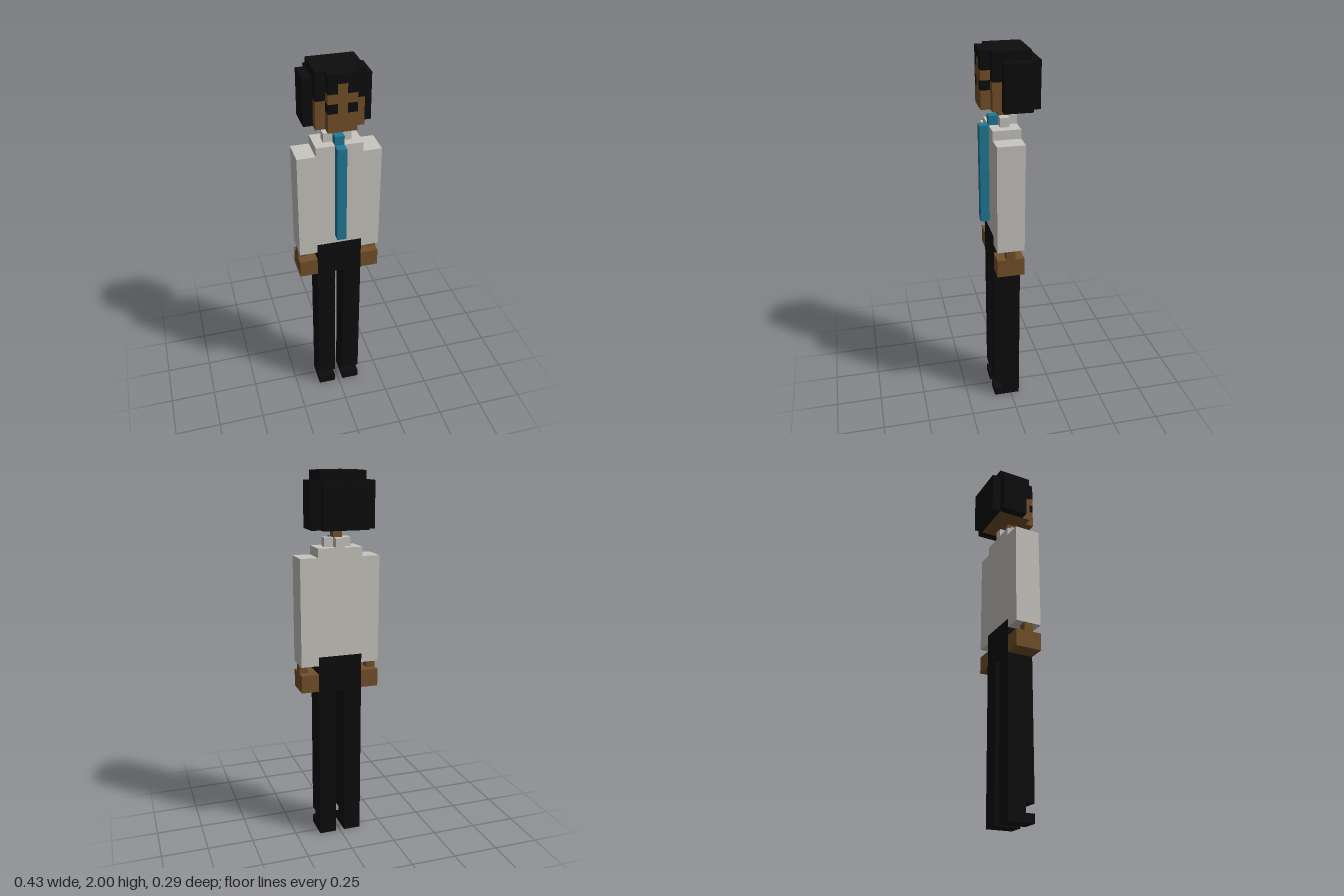
import * as THREE from 'three';

// One block of the grid; the figure is 42 blocks tall
const U = 2 / 42;

export function createModel() {
  const model = new THREE.Group();
  model.name = 'blockFigure';

  const material = (name, color) => {
    const m = new THREE.MeshStandardMaterial({ color });
    m.name = name;
    return m;
  };
  const black = material('black', 0x0d0d0d);
  const skin = material('skin', 0x74502b);
  const shirt = material('shirtGrey', 0xc9c7c1);
  const blue = material('tieBlue', 0x207b99);

  // Box between two corners, given in grid blocks
  const block = (name, mat, x0, x1, y0, y1, z0, z1) => {
    const mesh = new THREE.Mesh(
      new THREE.BoxGeometry((x1 - x0) * U, (y1 - y0) * U, (z1 - z0) * U), mat);
    mesh.position.set((x0 + x1) / 2 * U, (y0 + y1) / 2 * U, (z0 + z1) / 2 * U);
    mesh.name = name;
    model.add(mesh);
  };
  // The same box on the left (+x) and mirrored on the right
  const pair = (name, mat, x0, x1, ...rest) => {
    block(name + 'Left', mat, x0, x1, ...rest);
    block(name + 'Right', mat, -x1, -x0, ...rest);
  };

  // Shoes, notched above the toe, and trousers
  pair('shoe', black, 0.5, 2.5, 0, 1, -1, 2);
  pair('ankle', black, 0.5, 2.5, 1, 2, -1, 1);
  pair('leg', black, 0.5, 2.5, 2, 18, -1, 2);
  block('hips', black, -2.5, 2.5, 18, 22, -1, 2);

  // Hands and wrists
  pair('hand', skin, 2.5, 4.5, 18, 20, -1, 2);
  pair('wrist', skin, 3.5, 4.5, 20, 21, 0, 1);

  // Shirt with stepped shoulders and a collar around the neck
  block('torso', shirt, -2.5, 2.5, 22, 34, -1, 2);
  pair('sleeve', shirt, 2.5, 4.5, 21, 33, -1, 2);
  pair('collarSide', shirt, 0.5, 1.5, 34, 35, 0, 1);
  block('collarBack', shirt, -0.5, 0.5, 34, 35, -1, 0);

  // Tie
  block('tieKnot', blue, -0.5, 0.5, 34, 35, 1, 2);
  block('tie', blue, -0.5, 0.5, 23, 34, 2, 3);

  // Neck and head
  block('neck', skin, -0.5, 0.5, 34, 36, 0, 1);
  block('head', skin, -2.5, 2.5, 36, 39, -2, 2);

  // Face layer, with eyes at its corners
  block('lowerFace', skin, -1.5, 1.5, 36, 38, 2, 3);
  block('noseBridge', skin, -0.5, 0.5, 38, 39, 2, 3);
  pair('eye', black, 0.5, 1.5, 38, 39, 2, 3);
  block('brow', skin, -1.5, 1.5, 39, 40, 2, 3);
  block('forehead', skin, -0.5, 0.5, 40, 41, 2, 3);

  // Hair
  pair('fringe', black, 0.5, 1.5, 40, 41, 2, 3);
  block('fringeTop', black, -1.5, 1.5, 41, 42, 2, 3);
  block('hairTop', black, -2.5, 2.5, 39, 42, -2, 2);
  pair('hairSide', black, 2.5, 3.5, 36, 41, -2, 1);
  block('hairBack', black, -2.5, 2.5, 36, 41, -3, -2);

  return model;
}
